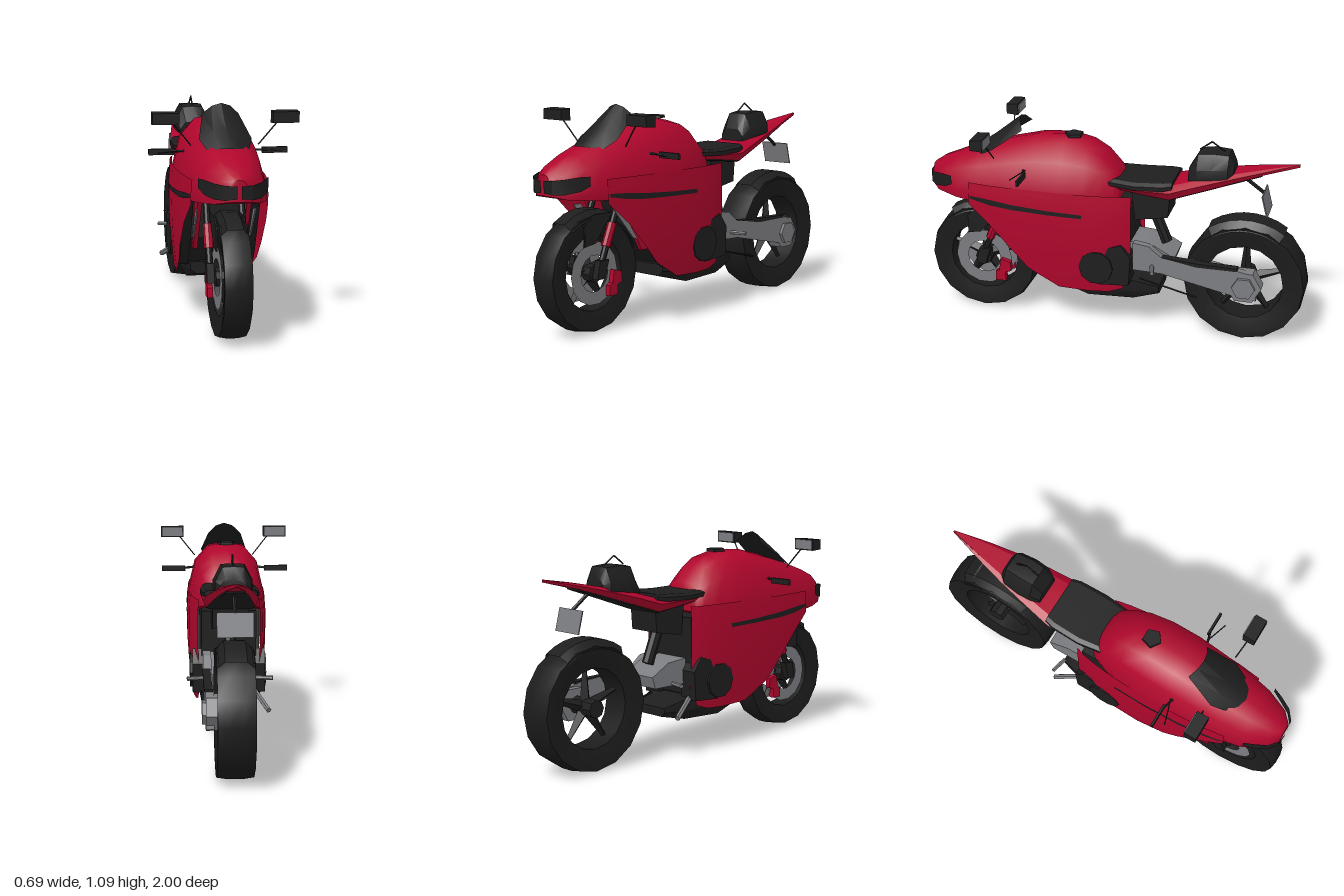
import * as THREE from 'three';
import { toCreasedNormals } from 'three/addons/utils/BufferGeometryUtils.js';

const paint = (name, color) => {
  const m = new THREE.MeshStandardMaterial({ color, side: THREE.DoubleSide });
  m.name = name;
  return m;
};

export function createModel() {
  const red = paint('red paint', 0xb0062c);
  const black = paint('black plastic', 0x1e1e1e);
  const rubber = paint('tyre rubber', 0x1c1c1c);
  const grey = paint('grey metal', 0x7c7d81);

  const model = new THREE.Group();
  model.name = 'sportMotorcycle';

  const add = (name, geo, mat, crease = 0.5) => {
    const mesh = new THREE.Mesh(toCreasedNormals(geo, crease), mat);
    mesh.name = name;
    model.add(mesh);
  };

  // Grid of points joined into a surface; optionally closed round and capped at both ends
  const skin = (rows, closed = false) => {
    const n = rows[0].length, idx = [];
    for (let i = 0; i < rows.length - 1; i++)
      for (let j = 0; j < (closed ? n : n - 1); j++) {
        const a = i * n + j, b = i * n + (j + 1) % n;
        idx.push(a, b, a + n, b, b + n, a + n);
      }
    if (closed) {
      const last = (rows.length - 1) * n;
      for (let j = 1; j < n - 1; j++) idx.push(0, j + 1, j, last, last + j, last + j + 1);
    }
    const g = new THREE.BufferGeometry();
    g.setAttribute('position', new THREE.Float32BufferAttribute(rows.flat(2), 3));
    g.setIndex(idx);
    return g;
  };

  // Loft along z: stations [z, top, bottom, halfWidth], shape = half section from top to bottom
  const loft = (stations, shape) => skin(stations.map(([z, t, b, w]) => {
    const half = shape.map(([fx, fy]) => [fx * w, b + fy * (t - b), z]);
    const mirror = half.slice(1, -1).reverse().map(([x, y, zz]) => [-x, y, zz]);
    return [...half, ...mirror];
  }), true);

  // Side outline [z, y] extruded between two x values
  const slab = (pts, x0, x1) => {
    const s = new THREE.Shape(pts.map(p => new THREE.Vector2(...p)));
    return new THREE.ExtrudeGeometry(s, { depth: x1 - x0, bevelEnabled: false })
      .rotateY(-Math.PI / 2).translate(x1, 0, 0);
  };
  const box = (w, h, d, x, y, z) => new THREE.BoxGeometry(w, h, d).translate(x, y, z);
  const disc = (r, x0, x1, y, z, sides = 8) =>
    new THREE.CylinderGeometry(r, r, x1 - x0, sides).rotateZ(-Math.PI / 2).translate((x0 + x1) / 2, y, z);
  const bar = (a, b, r0, r1 = r0, sides = 6) => {
    const p = new THREE.Vector3(...a), d = new THREE.Vector3(...b).sub(p);
    const g = new THREE.CylinderGeometry(r1, r0, d.length(), sides).translate(0, d.length() / 2, 0);
    return g.applyQuaternion(new THREE.Quaternion().setFromUnitVectors(new THREE.Vector3(0, 1, 0), d.normalize()))
      .translate(p.x, p.y, p.z);
  };

  // Upper bodywork: nose, cowl and tank
  const rounded = [[0, 1], [0.45, 0.95], [0.8, 0.71], [1, 0.2], [0.97, 0], [0, 0]];
  add('noseAndTank', loft([
    [0.98, 0.79, 0.69, 0.05], [0.93, 0.825, 0.675, 0.11], [0.82, 0.87, 0.665, 0.16],
    [0.7, 0.913, 0.655, 0.183], [0.55, 0.96, 0.655, 0.197], [0.4, 0.998, 0.66, 0.205],
    [0.25, 1.01, 0.66, 0.203], [0.13, 0.985, 0.67, 0.19], [0.05, 0.94, 0.69, 0.168],
    [-0.02, 0.865, 0.71, 0.145], [-0.045, 0.82, 0.72, 0.12],
  ], rounded), red, 0.8);
  add('fuelCap', new THREE.CylinderGeometry(0.048, 0.05, 0.014, 5).translate(0, 1.01, 0.22), black);

  // Windscreen
  add('windscreen', skin([
    [0.1, 0.89, 0.69, 0.9, 0.75], [0.125, 0.93, 0.62, 0.98, 0.635], [0.088, 1.035, 0.47, 1.088, 0.5],
  ].map(([w, ye, ze, yc, zc]) => [-1, -0.5, 0, 0.5, 1].map(u => {
    const k = u * u;
    return [u * w, yc + (ye - yc) * k, zc + (ze - zc) * k];
  }))), black);

  // Fairing shell stations: [z, lower edge, half width]
  const fairing = [[0.74, 0.645, 0.181], [0.62, 0.54, 0.197], [0.5, 0.41, 0.205], [0.42, 0.32, 0.207],
    [0.26, 0.228, 0.207], [0.1, 0.22, 0.2], [0, 0.223, 0.188], [-0.07, 0.245, 0.175], [-0.115, 0.34, 0.158]];
  const rows = side => fairing.map(([z, low, w]) => Array.from({ length: 7 }, (_, i) => {
    const y = 0.76 + (low - 0.76) * i / 6;
    const taper = 0.9 * Math.max(0, 0.6 - y) ** 2 + 0.5 * Math.max(0, y - 0.69);
    return [side * w * (1 - taper), y, z];
  }));

  for (const s of [1, -1]) {
    const tag = s > 0 ? 'left' : 'right';
    const span = (pts, a, b) => slab(pts, Math.min(s * a, s * b), Math.max(s * a, s * b));
    add(tag + 'Fairing', skin(rows(s)), red, 0.7);
    add(tag + 'FairingStripe', skin([[0.73, 0.184, 0.675, 0.69], [0.62, 0.199, 0.655, 0.685],
      [0.5, 0.207, 0.645, 0.672], [0.3, 0.21, 0.638, 0.66], [0.13, 0.204, 0.634, 0.654]]
      .map(([z, x, lo, hi]) => [[s * x, lo, z], [s * x, hi, z]])), black);
    add(tag + 'InnerPanel', span([[0.62, 0.66], [0.52, 0.66], [0.42, 0.38], [0.46, 0.38]], 0.108, 0.13), red);
    add(tag + 'AirDuct', span([[0.56, 0.66], [0.4, 0.66], [0.34, 0.28], [0.4, 0.34]], 0.14, 0.185), black);
    add(tag + 'DuctStrut', span([[0.66, 0.6], [0.61, 0.6], [0.5, 0.44], [0.53, 0.45]], 0.135, 0.142), grey);

    // Wrapped headlight
    add(tag + 'Headlight', skin([[0.01, 0.988, 0.705, 0.762], [0.06, 0.982, 0.698, 0.765], [0.108, 0.945, 0.7, 0.772],
      [0.143, 0.88, 0.712, 0.78], [0.162, 0.835, 0.735, 0.78]]
      .map(([x, z, lo, hi]) => [[s * x, lo, z], [s * x, hi, z]])), black);

    // Mirror, stalk, handlebar lever
    add(tag + 'Mirror', slab([[-0.03, -0.03], [-0.03, 0.03], [0.032, 0.026], [0.032, -0.026]], -0.0625, 0.0625)
      .translate(s * 0.283, 1.031, 0.624), black);
    add(tag + 'MirrorGlass', box(0.11, 0.046, 0.006, s * 0.283, 1.031, 0.592), grey);
    add(tag + 'MirrorStalk', bar([s * 0.16, 0.9, 0.6], [s * 0.245, 1.005, 0.62], 0.0035), black);
    add(tag + 'Handlebar', box(0.125, 0.03, 0.012, s * 0.277, 0.85, 0.42), black);
    add(tag + 'BarStem', bar([s * 0.17, 0.855, 0.44], [s * 0.24, 0.85, 0.42], 0.006), black);
    add(tag + 'Lever', bar([s * 0.17, 0.855, 0.43], [s * 0.3, 0.85, 0.47], 0.003), black);

    // Fork leg with red sleeve and brake caliper
    add(tag + 'ForkLeg', bar([s * 0.085, 0.29, 0.715], [s * 0.085, 0.68, 0.555], 0.016, 0.016, 8), black);
    add(tag + 'ForkSleeve', bar([s * 0.085, 0.42, 0.664], [s * 0.085, 0.53, 0.618], 0.023, 0.023, 8), red);
    add(tag + 'Caliper', span([[0.64, 0.175], [0.585, 0.175], [0.585, 0.225], [0.555, 0.235], [0.555, 0.285],
      [0.61, 0.3], [0.62, 0.235], [0.64, 0.225]], 0.062, 0.088), red);
    add(tag + 'ForkFoot', span([[0.74, 0.27], [0.69, 0.27], [0.66, 0.36], [0.72, 0.36]], 0.07, 0.105), black);
    add(tag + 'FenderSide', span([[0.79, 0.43], [0.72, 0.44], [0.6, 0.58], [0.72, 0.58], [0.79, 0.53]], 0.066, 0.073), black);
    add(tag + 'BrakeDisc', new THREE.RingGeometry(0.09, 0.155, 14).rotateY(s * Math.PI / 2).translate(s * 0.056, 0.292, 0.712), grey);

    // Engine covers and foot peg
    add(tag + 'EngineCover', disc(0.09, s > 0 ? 0.1 : -0.197, s > 0 ? 0.197 : -0.1, 0.365, 0.06, 10), black);
    add(tag + 'EngineCase', span([[0.03, 0.47], [-0.07, 0.5], [-0.12, 0.43], [-0.11, 0.28], [0.05, 0.27]], 0.08, 0.185), black);
    add(tag + 'FootPeg', bar([s * 0.13, 0.38, -0.22], [s * 0.215, 0.38, -0.24], 0.011), grey);
  }

  // Engine core and belly pan
  add('engineCore', slab([[0.4, 0.68], [0.4, 0.42], [0.26, 0.26], [0.05, 0.24], [-0.09, 0.3], [-0.1, 0.7]], -0.14, 0.14), black);
  add('bellyPan', loft([[0.3, 0.28, 0.22, 0.12], [0.12, 0.3, 0.17, 0.145], [-0.12, 0.29, 0.178, 0.14], [-0.25, 0.25, 0.205, 0.1]],
    [[0, 1], [1, 1], [1, 0.45], [0.8, 0], [0, 0]]), black);

  // Tail, undertail, seat and rear pad
  const boxy = [[0, 1], [0.7, 1], [1, 0.6], [0.85, 0], [0, 0]];
  const tail = [[0, 0.815, 0.78, 0.12], [-0.15, 0.81, 0.768, 0.145], [-0.3, 0.818, 0.75, 0.14], [-0.45, 0.86, 0.8, 0.117],
    [-0.6, 0.895, 0.85, 0.09], [-0.75, 0.925, 0.898, 0.055], [-0.93, 0.957, 0.943, 0.004]];
  add('tail', loft(tail, boxy), red);
  add('undertail', loft(tail.slice(0, 6).map(([z, , b, w]) => [z, b + 0.004, b - 0.008, w * 0.86]), boxy), black);
  add('seat', loft([[0.01, 0.832, 0.8, 0.13], [-0.12, 0.828, 0.795, 0.147], [-0.27, 0.836, 0.8, 0.143], [-0.315, 0.838, 0.81, 0.13]],
    [[0, 1], [0.85, 1], [1, 0.6], [1, 0], [0, 0]]), black);
  add('rearPad', loft([[-0.385, 0.905, 0.84, 0.07], [-0.43, 0.985, 0.855, 0.09], [-0.5, 0.995, 0.865, 0.095],
    [-0.585, 0.99, 0.875, 0.086], [-0.612, 0.935, 0.885, 0.062]], [[0, 1], [0.6, 0.97], [1, 0.4], [1, 0], [0, 0]]), black);
  for (const z of [-0.43, -0.555]) add('padRidge', bar([0, 0.99, z], [0, 1.035, -0.49], 0.004), black);

  // Subframe, shock, number plate and its bracket
  add('subframeBox', slab([[-0.1, 0.78], [-0.3, 0.76], [-0.29, 0.64], [-0.12, 0.61]], -0.09, 0.09), black);
  add('shock', bar([0, 0.64, -0.2], [0, 0.47, -0.27], 0.03, 0.03, 8), black);
  add('plateBracket', bar([0, 0.87, -0.65], [0, 0.79, -0.76], 0.01), black);
  add('numberPlate', box(0.17, 0.115, 0.006, 0, 0, 0).rotateX(0.25).translate(0, 0.745, -0.775), grey);

  // One-sided swing arm, hub and side stand
  add('swingArm', slab([[-0.12, 0.5], [-0.2, 0.49], [-0.27, 0.435], [-0.62, 0.415], [-0.74, 0.39], [-0.76, 0.25],
    [-0.62, 0.27], [-0.27, 0.345], [-0.12, 0.35]], 0.095, 0.135), grey);
  add('swingArmGuard', slab([[-0.27, 0.437], [-0.45, 0.425], [-0.66, 0.42], [-0.66, 0.405], [-0.45, 0.405]], 0.1, 0.14), black);
  add('swingArmPivot', slab([[-0.1, 0.49], [-0.22, 0.48], [-0.33, 0.42], [-0.31, 0.36], [-0.1, 0.36]], -0.1, 0.096), grey);
  add('rearHub', disc(0.09, 0.06, 0.135, 0.318, -0.695, 6), grey);
  add('hubCap', disc(0.06, 0.135, 0.152, 0.318, -0.695, 6), grey);
  add('linkRod', bar([0.1, 0.29, -0.15], [0.1, 0.215, -0.45], 0.005), black);
  add('sideStand', bar([-0.13, 0.29, -0.1], [-0.195, 0.215, -0.25], 0.014), grey);

  // Wheels: tyre of half width w, hub and five spokes each
  const wheel = (name, y, z, R, inner, w) => {
    const profile = [[inner, -w * 0.8], [R - 0.03, -w], [R - 0.008, -w], [R, -w * 0.4], [R, w * 0.4],
      [R - 0.008, w], [R - 0.03, w], [inner, w * 0.8], [inner, -w * 0.8]].map(p => new THREE.Vector2(...p));
    add(name + 'Tyre', new THREE.LatheGeometry(profile, 16).rotateZ(-Math.PI / 2).translate(0, y, z), rubber, 0.45);
    add(name + 'Hub', disc(0.045, -w, w, y, z, 8), black);
    for (let i = 0; i < 5; i++) {
      const a = Math.PI / 2 + i * Math.PI * 0.4;
      add(name + 'Spoke', bar([0, y, z], [0, y + Math.sin(a) * (inner + 0.01), z + Math.cos(a) * (inner + 0.01)], 0.034, 0.011, 4), black);
    }
  };
  wheel('front', 0.293, 0.712, 0.29, 0.185, 0.065);
  wheel('rear', 0.315, -0.685, 0.315, 0.2, 0.088);

  // Fenders: arcs over the tyres, angles measured from the front
  const fender = (name, y, z, r, from, to, w) => add(name, skin(Array.from({ length: 8 }, (_, i) => {
    const a = THREE.MathUtils.degToRad(from + (to - from) * i / 7);
    return [[-w, -0.045], [-0.55 * w, 0], [0.55 * w, 0], [w, -0.045]].map(([x, d]) =>
      [x, y + Math.sin(a) * (r + d), z + Math.cos(a) * (r + d)]);
  })), black);
  fender('frontFender', 0.293, 0.712, 0.31, 55, 160, 0.07);
  fender('rearFender', 0.315, -0.685, 0.338, 55, 125, 0.092);

  return model;
}
